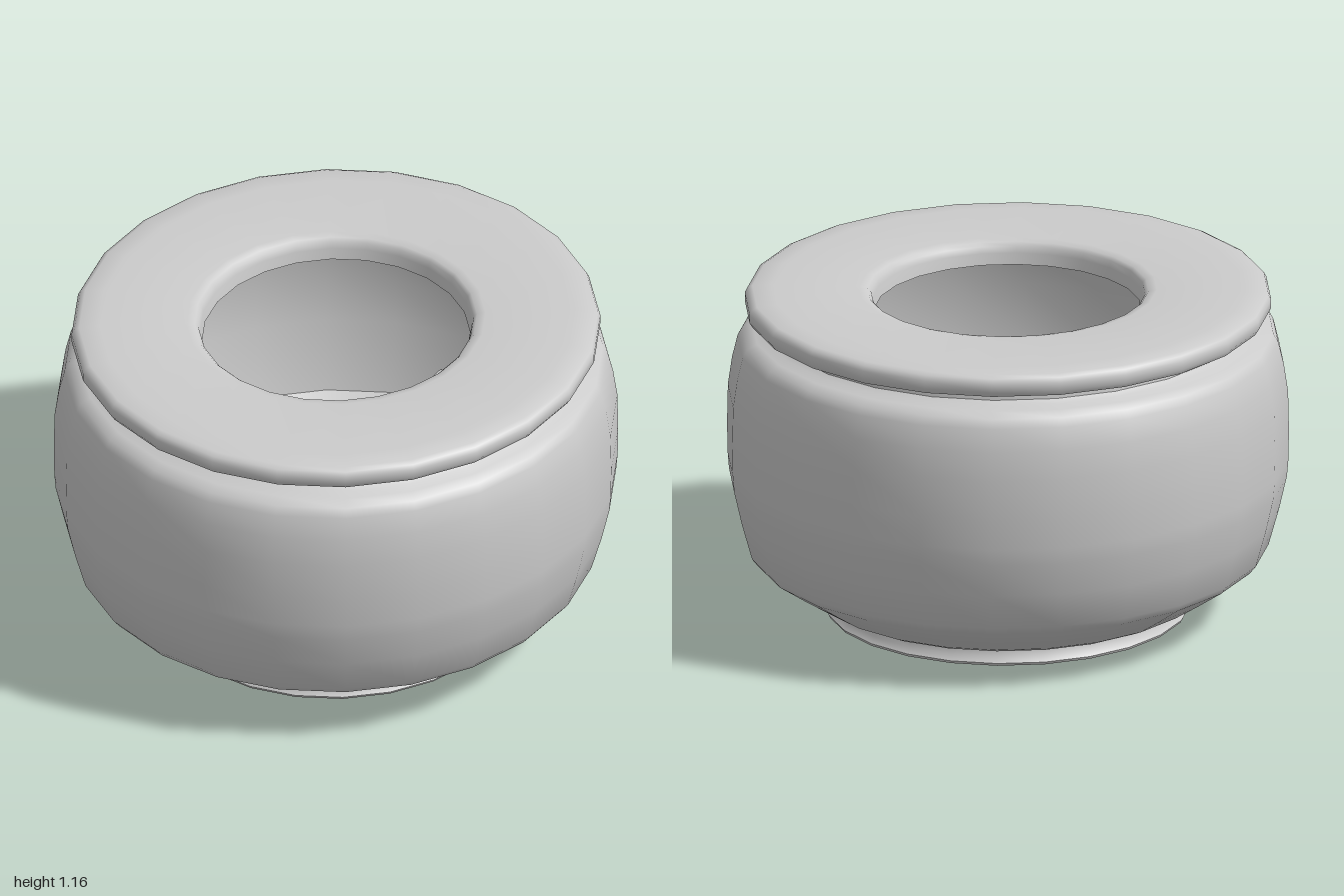
import * as THREE from 'three';
import { toCreasedNormals } from 'three/addons/utils/BufferGeometryUtils.js';
import { ParametricGeometry } from 'three/addons/geometries/ParametricGeometry.js';

const SIDES = 24;
const grey = new THREE.MeshStandardMaterial({ color: 0xcccccc });

function add(parent, name, geometry, x = 0, y = 0, z = 0) {
  const mesh = new THREE.Mesh(geometry, grey);
  mesh.name = name;
  mesh.position.set(x, y, z);
  parent.add(mesh);
  return mesh;
}

// Turned profile, listed as [radius, height]; slightly narrower across x
function turned(profile, crease = 0.7) {
  const points = profile.map(([r, y]) => new THREE.Vector2(r, y));
  const geo = new THREE.LatheGeometry(points, SIDES);
  geo.scale(0.97, 1, 1);
  return toCreasedNormals(geo, crease);
}

// Smooth elliptical tube through sections [x, y, z, halfWidth, halfHeight]
function loft(sections, around = 20, along = 28) {
  const path = new THREE.CatmullRomCurve3(sections.map((s) => new THREE.Vector3(s[0], s[1], s[2])));
  const size = new THREE.CatmullRomCurve3(sections.map((s) => new THREE.Vector3(s[3], s[4], 0)));
  return new ParametricGeometry((u, v, target) => {
    const c = path.getPoint(v), s = size.getPoint(v), a = u * Math.PI * 2;
    target.set(c.x + Math.cos(a) * s.x, c.y + Math.sin(a) * s.y, c.z);
  }, around, along);
}

// Thin rounded fin from an outline in its own plane
function finGeometry(outline) {
  const shape = new THREE.Shape();
  shape.moveTo(...outline[0]);
  shape.splineThru(outline.slice(1).map((p) => new THREE.Vector2(...p)));
  shape.closePath();
  const geo = new THREE.ExtrudeGeometry(shape, {
    depth: 0.01, curveSegments: 12, bevelThickness: 0.008, bevelSize: 0.008, bevelSegments: 2,
  });
  geo.translate(0, 0, -0.005);
  return toCreasedNormals(geo, 0.9);
}

function createFish() {
  const fish = new THREE.Group();
  fish.name = 'fish';
  // Body, from the tail root to the snout
  add(fish, 'fishBody', loft([
    [0.05, 0.42, -0.5, 0.035, 0.06],
    [0.035, 0.41, -0.42, 0.06, 0.07],
    [-0.01, 0.4, -0.3, 0.095, 0.1],
    [-0.05, 0.4, -0.17, 0.135, 0.14],
    [-0.09, 0.4, 0, 0.175, 0.17],
    [-0.11, 0.39, 0.12, 0.185, 0.16],
    [-0.1, 0.38, 0.22, 0.14, 0.11],
    [-0.085, 0.37, 0.27, 0.06, 0.055],
    [-0.08, 0.37, 0.285, 0.001, 0.001],
  ]));
  // Eyes
  add(fish, 'rightEye', new THREE.SphereGeometry(0.045, 16, 12), -0.28, 0.44, 0.15);
  add(fish, 'leftEye', new THREE.SphereGeometry(0.045, 16, 12), 0.03, 0.44, 0.18);
  // Forked tail fin, standing upright behind the body
  const tail = add(fish, 'tailFin', finGeometry([
    [-0.03, 0.05], [0.08, 0.12], [0.19, 0.14], [0.15, 0.03], [0.19, -0.12], [0.08, -0.1], [-0.03, -0.05],
  ]), 0.05, 0.41, -0.48);
  tail.rotation.y = Math.PI / 2 - 0.15;
  // Dorsal fin, leaning a little to the side
  const dorsal = add(fish, 'dorsalFin', finGeometry([
    [-0.13, -0.04], [-0.08, 0.05], [0.04, 0.09], [0.17, 0.06], [0.13, -0.04],
  ]), -0.08, 0.55, -0.07);
  dorsal.rotation.set(0, Math.PI / 2 - 0.1, 0);
  dorsal.rotateX(-0.25);
  // Pectoral fins, spread outward
  const pectoral = finGeometry([[-0.04, -0.07], [0.04, -0.06], [0.1, 0.01], [0.12, 0.1], [0.04, 0.1], [-0.04, 0.06]]);
  const left = add(fish, 'leftPectoralFin', pectoral, 0.07, 0.37, -0.09);
  left.rotation.set(Math.PI / 2, 0.35, 0);
  const right = add(fish, 'rightPectoralFin', pectoral, -0.25, 0.37, -0.08);
  right.rotation.set(Math.PI / 2, -0.35, 0);
  right.scale.x = -1;
  return fish;
}

function createPlant() {
  const plant = new THREE.Group();
  plant.name = 'plant';
  plant.position.set(0.4, 0.16, -0.2);
  // Ring of curved leaves
  for (let i = 0; i < 7; i++) {
    const leaf = add(plant, 'leaf', loft([
      [0, 0.05, 0.02, 0.015, 0.01], [0, 0.04, 0.07, 0.035, 0.01],
      [0, 0.08, 0.11, 0.025, 0.008], [0, 0.12, 0.13, 0.002, 0.002],
    ], 10, 10));
    leaf.rotation.y = (i / 7) * Math.PI * 2;
  }
  // Egg-shaped buds in the middle
  [[-0.07, 0.11, -0.05], [-0.05, 0.12, 0.03], [0.03, 0.12, -0.02]].forEach((p) => {
    const bud = add(plant, 'bud', new THREE.SphereGeometry(0.055, 14, 10), ...p);
    bud.scale.set(1, 1.1, 0.8);
  });
  return plant;
}

export function createModel() {
  const model = new THREE.Group();
  model.name = 'fishBowl';
  // Closed foot under the bowl
  add(model, 'foot', turned([
    [0, 0], [0.62, 0], [0.645, 0.005], [0.65, 0.015], [0.632, 0.035], [0.63, 0.062],
  ]));
  // Outer wall, from the foot up to the neck
  add(model, 'bowlWall', turned([
    [0.62, 0.058], [0.665, 0.065], [0.71, 0.085], [0.8, 0.142], [0.905, 0.212], [0.928, 0.24], [0.965, 0.37],
    [0.993, 0.49], [0.998, 0.55], [1, 0.66], [0.997, 0.8], [0.982, 0.9], [0.962, 0.98],
    [0.945, 1.01], [0.91, 1.028], [0.875, 1.037], [0.856, 1.05], [0.85, 1.085],
  ]));
  // Inner wall, facing inward
  add(model, 'innerWall', turned([
    [0.82, 1.085], [0.83, 1.04], [0.91, 0.99], [0.95, 0.85], [0.965, 0.66],
    [0.955, 0.5], [0.89, 0.25], [0.66, 0.09],
  ]));
  // Flat lid with a rounded rim and a round opening
  add(model, 'lid', turned([
    [0.475, 1.085], [0.85, 1.082], [0.9, 1.08], [0.925, 1.087], [0.937, 1.105], [0.937, 1.135],
    [0.928, 1.152], [0.91, 1.161], [0.84, 1.165], [0.53, 1.165], [0.5, 1.16], [0.488, 1.148],
    [0.482, 1.125], [0.475, 1.085],
  ]));
  model.add(createFish(), createPlant());
  return model;
}
